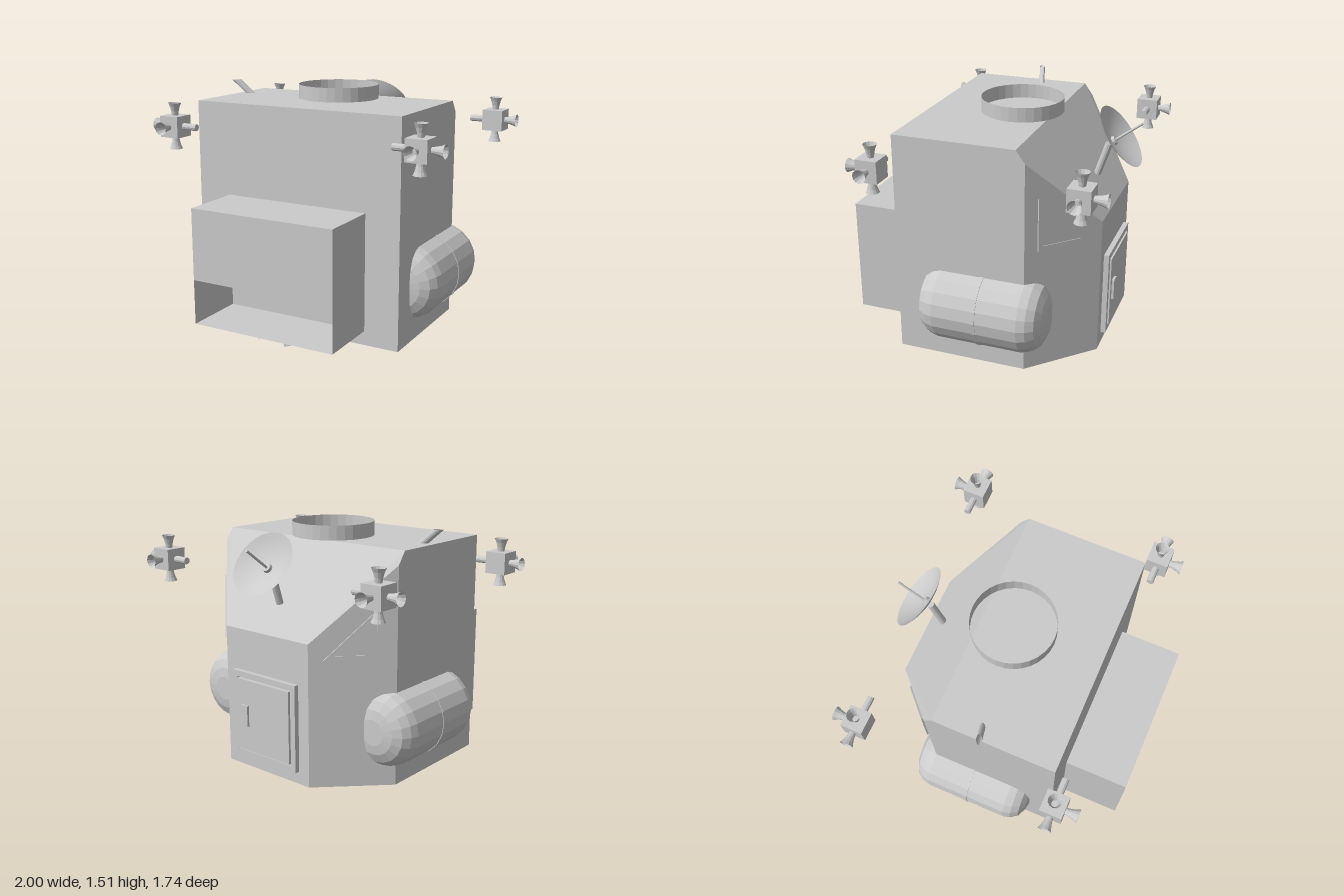
import * as THREE from 'three';
import { ConvexGeometry } from 'three/addons/geometries/ConvexGeometry.js';

const flat = new THREE.MeshStandardMaterial({ color: 0xcccccc, flatShading: true });
const thin = new THREE.MeshStandardMaterial({ color: 0xcccccc, flatShading: true, side: THREE.DoubleSide });
const smoothThin = new THREE.MeshStandardMaterial({ color: 0xcccccc, side: THREE.DoubleSide });
const V = (x, y, z) => new THREE.Vector3(x, y, z);
const P = (x, y) => new THREE.Vector2(x, y);
const UP = V(0, 1, 0);

function add(parent, name, geometry, pos = [0, 0, 0], material = flat) {
  const mesh = new THREE.Mesh(geometry, material);
  mesh.name = name;
  mesh.position.set(...pos);
  parent.add(mesh);
  return mesh;
}

function group(parent, name) {
  const g = new THREE.Group();
  g.name = name;
  parent.add(g);
  return g;
}

// Straight rod between two points
function rod(parent, name, a, b, r, sides = 12) {
  const mesh = add(parent, name, new THREE.CylinderGeometry(r, r, a.distanceTo(b), sides));
  mesh.position.copy(a).lerp(b, 0.5);
  mesh.quaternion.setFromUnitVectors(UP, b.clone().sub(a).normalize());
  return mesh;
}

// Cabin: block with chamfered rear corners and a sloping rear roof
function buildCabin(root) {
  const pts = [];
  for (const s of [-1, 1]) {
    pts.push(V(s * 0.71, 0, 0.468), V(s * 0.71, 1.42, 0.468), V(s * 0.71, 1.42, -0.3),
      V(s * 0.71, 0, -0.355), V(s * 0.71, 1.344, -0.355),
      V(s * 0.34, 0, -0.72), V(s * 0.34, 0.89, -0.72));
  }
  add(root, 'cabin', new ConvexGeometry(pts));
  add(root, 'dockingRing', new THREE.CylinderGeometry(0.26, 0.26, 0.09, 32, 1, true), [0, 1.465, -0.095], thin);
}

// Front equipment bay: thin panels, open below the front panel
function buildBay(root) {
  const bay = group(root, 'equipmentBay');
  const w = 0.97, d = 0.4, h = 0.74, z = 0.668;
  for (const [name, y] of [['bayTop', 0.83], ['bayFloor', 0.09]]) {
    add(bay, name, new THREE.PlaneGeometry(w, d), [0, y, z], thin).rotation.x = -Math.PI / 2;
  }
  for (const s of [-1, 1]) {
    add(bay, 'baySide', new THREE.PlaneGeometry(d, h), [s * w / 2, 0.46, z], thin).rotation.y = s * Math.PI / 2;
  }
  add(bay, 'bayFrontPanel', new THREE.PlaneGeometry(w, 0.455), [0, 0.6025, z + d / 2], thin);
  // Bell under the floor, cut away at the front
  const bell = [P(0.07, 0.09), P(0.095, 0.068), P(0.115, 0.042), P(0.13, 0.015)];
  add(bay, 'engineBell', new THREE.LatheGeometry(bell, 18, Math.PI / 4, Math.PI * 1.5), [0, 0, 0.667], thin);
}

// Side tank with blunt domes and a strap
function buildTank(side) {
  const tank = group(side, 'tank');
  tank.position.set(0.633, 0.355, -0.088);
  tank.rotation.x = Math.PI / 2;
  const half = [P(0.242, 0.27), P(0.228, 0.32), P(0.195, 0.365), P(0.14, 0.392), P(0.08, 0.402), P(0, 0.402)];
  const profile = [...half.map(p => P(p.x, -p.y)).reverse(), ...half];
  add(tank, 'tankShell', new THREE.LatheGeometry(profile, 20));
  add(tank, 'tankStrap', new THREE.CylinderGeometry(0.246, 0.246, 0.025, 20));
}

// Triangular window lying on the rear chamfer
function buildWindow(side) {
  const win = group(side, 'window');
  win.position.set(0.71, 0, -0.355);
  win.rotation.y = Math.atan2(0.365, -0.37);
  const frame = new THREE.Shape([P(0.085, 0.79), P(0.435, 0.79), P(0.085, 1.12)]);
  const hole = [P(0.118, 0.82), P(0.118, 1.054), P(0.366, 0.82)];
  frame.holes.push(new THREE.Path(hole));
  add(win, 'windowFrame', new THREE.ExtrudeGeometry(frame, { depth: 0.012, bevelEnabled: false }));
  add(win, 'windowPane', new THREE.ShapeGeometry(new THREE.Shape(hole)), [0, 0, 0.008], thin);
}

// Thruster cluster: cube, four flared nozzles and a stub arm pointing inward
function buildThrusters(side, z, facing) {
  const cluster = group(side, 'thrusterCluster');
  cluster.position.set(0.853, 1.255, z);
  add(cluster, 'thrusterBlock', new THREE.BoxGeometry(0.136, 0.136, 0.136));
  const flare = [P(0.02, 0.066), P(0.024, 0.095), P(0.032, 0.125), P(0.042, 0.148)];
  for (const dir of [V(1, 0, 0), V(0, 1, 0), V(0, -1, 0), V(0, 0, facing)]) {
    add(cluster, 'thrusterNozzle', new THREE.LatheGeometry(flare, 12), [0, 0, 0], thin)
      .quaternion.setFromUnitVectors(UP, dir);
  }
  rod(cluster, 'thrusterArm', V(-0.06, 0, 0), V(-0.17, 0, 0), 0.022, 10);
}

// Dish antenna on a mast over the sloping roof
function buildDish(root) {
  const antenna = group(root, 'dishAntenna');
  rod(antenna, 'dishMast', V(0, 1.06, -0.592), V(0, 1.265, -0.658), 0.023);
  const dish = group(antenna, 'dish');
  dish.position.set(0, 1.284, -0.684);
  dish.quaternion.setFromUnitVectors(UP, V(0, 0.6, -0.8));
  const bowl = [];
  for (let i = 0; i <= 8; i++) bowl.push(P(0.2125 * i / 8, 0.06 * (i / 8) ** 2));
  add(dish, 'dishBowl', new THREE.LatheGeometry(bowl, 32), [0, 0, 0], smoothThin);
  add(dish, 'feedBase', new THREE.CylinderGeometry(0.026, 0.03, 0.02, 12), [0, 0.01, 0]);
  add(dish, 'feedRod', new THREE.CylinderGeometry(0.008, 0.008, 0.21, 8), [0, 0.11, 0]);
}

// Rear hatch: raised frame, door and handle
function buildHatch(root) {
  const hatch = group(root, 'hatch');
  const rect = (w, h, T) => new T([P(-w, -h), P(w, -h), P(w, h), P(-w, h)]);
  const frame = rect(0.26, 0.275, THREE.Shape);
  frame.holes.push(rect(0.223, 0.238, THREE.Path));
  add(hatch, 'hatchFrame', new THREE.ExtrudeGeometry(frame, { depth: 0.035, bevelEnabled: false }), [0, 0.355, -0.752]);
  add(hatch, 'hatchDoor', new THREE.BoxGeometry(0.43, 0.46, 0.04), [0, 0.355, -0.74]);
  add(hatch, 'hatchHandle', new THREE.BoxGeometry(0.06, 0.135, 0.02), [0.15, 0.355, -0.765]);
}

// Leaning roof tube, cut level at both ends
function buildRoofTube(root) {
  const geo = new THREE.CylinderGeometry(1, 1, 0.09, 14, 1, true);
  geo.scale(0.03, 1, 0.018);
  geo.applyMatrix4(new THREE.Matrix4().set(
    1, -1.05, 0, 0,
    0, 1, 0, 0,
    -0.3, 0.3, 1, 0,
    0, 0, 0, 1));
  add(root, 'roofTube', geo, [-0.678, 1.462, 0], thin);
}

export function createModel() {
  const root = new THREE.Group();
  root.name = 'landerCabin';
  buildCabin(root);
  buildBay(root);
  buildDish(root);
  buildHatch(root);
  buildRoofTube(root);
  // Mirrored side fittings
  for (const s of [1, -1]) {
    const side = group(root, s > 0 ? 'leftFittings' : 'rightFittings');
    side.scale.x = s;
    buildTank(side);
    buildWindow(side);
    buildThrusters(side, 0.528, 1);
    buildThrusters(side, -0.725, -1);
  }
  return root;
}
